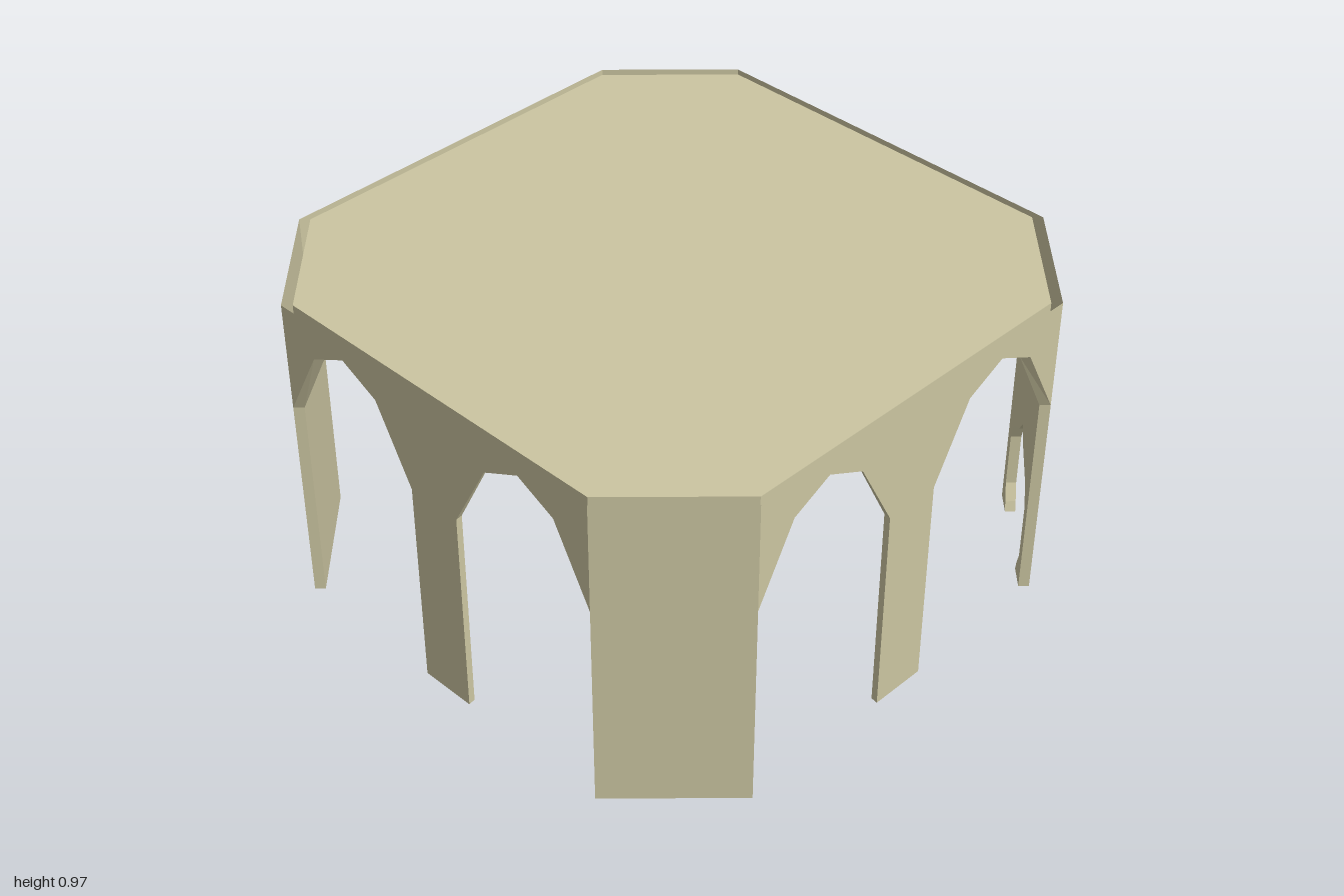
import * as THREE from 'three';

const TOP = 0.97, THICK = 0.03;
const material = new THREE.MeshStandardMaterial({ color: 0xcbc5a1, side: THREE.DoubleSide, flatShading: true });

// Eight plan corners [x, z], from the front panel's right end round to its left; r is the apothem
const corners = (r) => [
  [-0.2, r], [0.2, r], [r, 0.2], [r, -0.2], [0.2, -r], [-0.2, -r], [-r, -0.2], [-r, 0.2],
];
const outer = corners(1), inner = corners(1 - THICK);

// Outlines use [t, y]: t runs 0..1 along a wall, y is height
const arch = [[0, 0], [0, 0.64], [0.105, 0.86], [0.2125, 0.92], [0.32, 0.86], [0.425, 0.64], [0.425, 0]];
const mirror = (pts) => pts.map(([t, y]) => [1 - t, y]).reverse();
const halfDoor = [[0.125, 0], [0.135, 0.03], [0.16, 0.08], [0.16, 0.25], [0.128, 0.315], [0.045, 0.37]];
const door = [
  ...halfDoor.map(([w, y]) => [0.5 - w / 0.4, y]),
  [0.5, 0.42],
  ...halfDoor.map(([w, y]) => [0.5 + w / 0.4, y]).reverse(),
];

const toShape = (pts) => new THREE.Shape(pts.map(([x, y]) => new THREE.Vector2(x, y)));

// Point on a wall between plan corners i and i + 1
function onWall(ring, i, [t, y]) {
  const a = ring[i], b = ring[(i + 1) % 8];
  return [a[0] + (b[0] - a[0]) * t, y, a[1] + (b[1] - a[1]) * t];
}

function mesh(name, geometry) {
  geometry.computeVertexNormals();
  const m = new THREE.Mesh(geometry, material);
  m.name = name;
  return m;
}

// One flat skin of a wall
function skin(name, ring, i, outline, flip) {
  const g = new THREE.ShapeGeometry(toShape(outline)).toNonIndexed();
  const p = g.attributes.position, out = [];
  for (let k = 0; k < p.count; k += 3) {
    for (const j of flip ? [0, 2, 1] : [0, 1, 2]) {
      out.push(...onWall(ring, i, [p.getX(k + j), p.getY(k + j)]));
    }
  }
  const geometry = new THREE.BufferGeometry();
  geometry.setAttribute('position', new THREE.Float32BufferAttribute(out, 3));
  return mesh(name, geometry);
}

// Strip through the wall thickness, around an opening
function reveal(name, i, chain) {
  const out = [];
  for (let k = 0; k < chain.length - 1; k++) {
    const o0 = onWall(outer, i, chain[k]), o1 = onWall(outer, i, chain[k + 1]);
    const i0 = onWall(inner, i, chain[k]), i1 = onWall(inner, i, chain[k + 1]);
    out.push(...o0, ...i0, ...o1, ...o1, ...i0, ...i1);
  }
  const geometry = new THREE.BufferGeometry();
  geometry.setAttribute('position', new THREE.Float32BufferAttribute(out, 3));
  return mesh(name, geometry);
}

function wall(name, i, outline, openings) {
  const group = new THREE.Group();
  group.name = name;
  group.add(skin('outerFace', outer, i, outline, false), skin('innerFace', inner, i, outline, true));
  openings.forEach((chain) => group.add(reveal('openingReveal', i, chain)));
  return group;
}

export function createModel() {
  const model = new THREE.Group();
  model.name = 'pavilion';

  const solid = [[0, 0], [1, 0], [1, TOP], [0, TOP]];
  const withDoor = [[0, 0], ...door, [1, 0], [1, TOP], [0, TOP]];
  const arches = [arch, mirror(arch)];
  const arcade = [...arch.slice(1), ...mirror(arch).slice(0, -1), [1, TOP], [0, TOP]];

  // Narrow panels alternate with wide two-arch walls
  for (let i = 0; i < 8; i++) {
    if (i % 2) model.add(wall('archedWall', i, arcade, arches));
    else if (i === 2) model.add(wall('doorPanel', i, withDoor, [door]));
    else model.add(wall('solidPanel', i, solid, []));
  }

  // Flat roof within the inner faces
  const roof = new THREE.ShapeGeometry(toShape(inner.map(([x, z]) => [x, -z])));
  roof.rotateX(-Math.PI / 2).translate(0, TOP, 0);
  model.add(mesh('roof', roof));

  return model;
}
